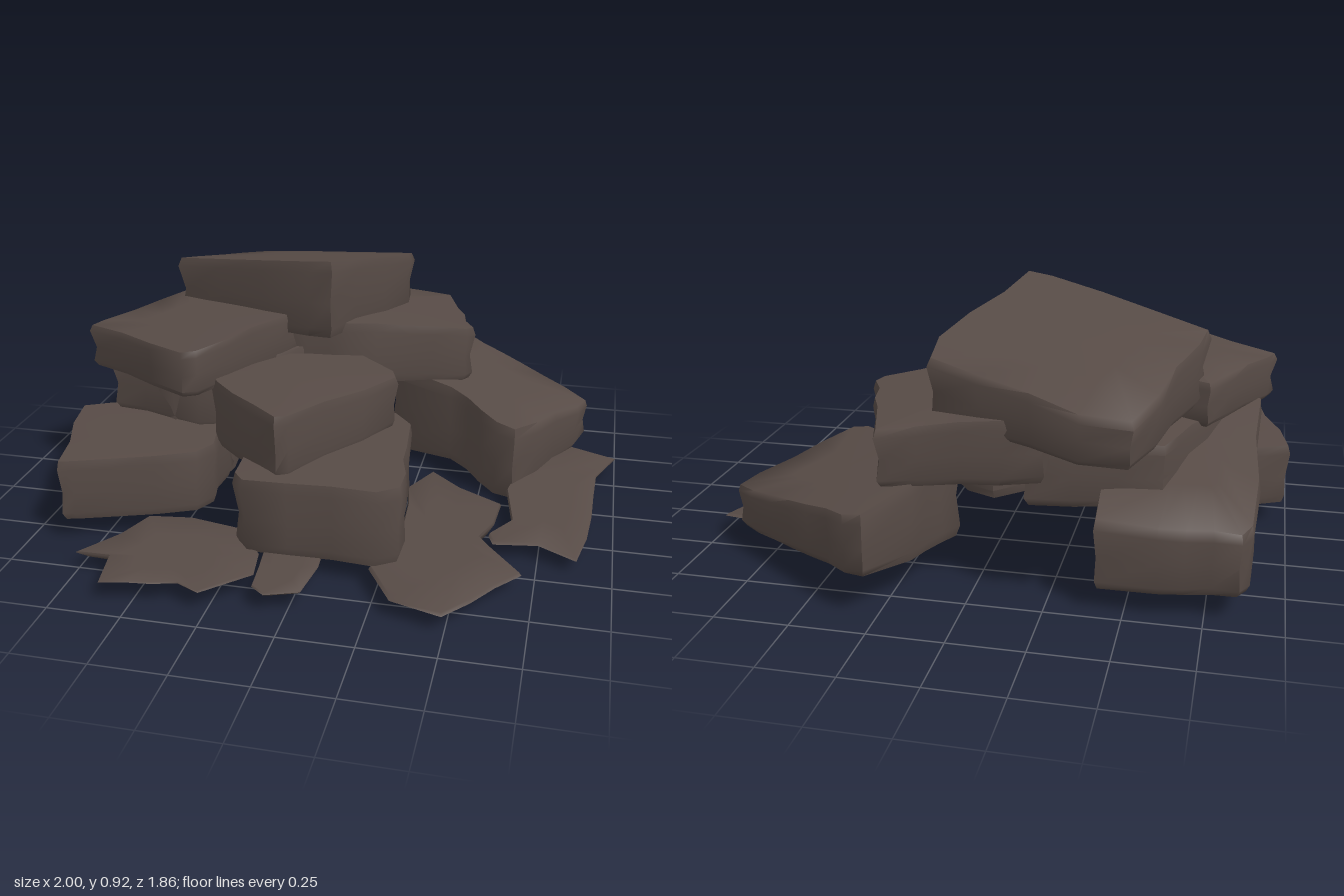
import * as THREE from 'three';
import { toCreasedNormals } from 'three/addons/utils/BufferGeometryUtils.js';

const stone = new THREE.MeshStandardMaterial({ color: 0x574b46 });
stone.name = 'brown stone';

// Profiles from bottom to top: [outline scale, height fraction]
const BLOCK = [[0.55, 0.02], [0.94, 0], [0.98, 0.12], [0.96, 0.45], [1, 0.86], [0.97, 1], [0.5, 1.02]];
const SHEET = [[0.5, 0], [0.85, 0.4], [1, 0.85], [0.97, 1], [0.5, 1]];

// Split every edge and nudge the new points so outlines look chipped
function chip(points, amount) {
  const out = [];
  points.forEach(([x, z], i) => {
    const [nx, nz] = points[(i + 1) % points.length];
    const len = Math.hypot(nx - x, nz - z);
    const steps = len > 0.25 ? 3 : 1;
    for (let s = 0; s < steps; s++) {
      const t = s / steps;
      const push = s ? amount * Math.sin(i * 2.3 + s * 1.9) : 0;
      out.push([x + (nx - x) * t + ((nz - z) / len) * push, z + (nz - z) * t - ((nx - x) / len) * push]);
    }
  });
  return out;
}

// A rock from an [x, z] outline between two sloping planes [height, slope x, slope z]
function rock(name, outline, bottom, top, profile = BLOCK) {
  let pts = chip(outline, profile === BLOCK ? 0.012 : 0.006);
  const area = pts.reduce((sum, [x, z], i) => {
    const [nx, nz] = pts[(i + 1) % pts.length];
    return sum + x * nz - nx * z;
  }, 0);
  if (area > 0) pts = pts.reverse();
  const n = pts.length;
  const cx = pts.reduce((s, p) => s + p[0], 0) / n;
  const cz = pts.reduce((s, p) => s + p[1], 0) / n;
  const plane = ([h, a, b], x, z) => h + a * x + b * z;
  const pos = [], index = [];
  const add = (x, z, t) => {
    const lo = plane(bottom, x, z), hi = plane(top, x, z);
    pos.push(x, Math.max(0, lo + (hi - lo) * t), z);
  };
  profile.forEach(([scale, t], r) => pts.forEach(([x, z], i) => {
    const side = r > 1 && r < profile.length - 2;
    const dent = side && profile === BLOCK ? 0.015 * Math.sin(i * 1.7 + r * 2.1) : 0;
    const k = scale + Math.min(0, dent);
    add(cx + (x - cx) * k, cz + (z - cz) * k, t);
  }));
  const rings = profile.length;
  add(cx, cz, profile[0][1]);
  add(cx, cz, profile[rings - 1][1]);
  for (let i = 0; i < n; i++) {
    const j = (i + 1) % n;
    for (let r = 0; r < rings - 1; r++) {
      const a = r * n + i, b = r * n + j;
      index.push(a, b, b + n, a, b + n, a + n);
    }
    index.push(rings * n, j, i);
    index.push(rings * n + 1, (rings - 1) * n + i, (rings - 1) * n + j);
  }
  const geo = new THREE.BufferGeometry();
  geo.setAttribute('position', new THREE.Float32BufferAttribute(pos, 3));
  geo.setIndex(index);
  const mesh = new THREE.Mesh(toCreasedNormals(geo, 1.1), stone);
  mesh.name = name;
  return mesh;
}

export function createModel() {
  const group = new THREE.Group();
  group.name = 'rockPile';
  group.add(
    // Top layer
    rock('capRock',
      [[-0.53, -0.84], [-0.37, -0.84], [0.15, -0.62], [0.16, -0.48], [-0.03, 0.08], [-0.12, 0.06], [-0.71, -0.22], [-0.69, -0.33]],
      [0.625, 0.03, 0.1], [0.904, 0.062, 0.228]),
    rock('upperLeftSlab',
      [[-0.93, 0.14], [-0.91, 0.08], [-0.72, -0.32], [-0.15, -0.15], [-0.22, 0.04], [-0.42, 0.42], [-0.47, 0.44]],
      [0.54, 0.06, 0], [0.705, 0.07, 0.01]),
    rock('upperRightRock',
      [[-0.25, -0.7], [0.16, -0.74], [0.29, -0.75], [0.35, -0.55], [0.44, -0.3], [0.42, -0.26], [0.3, -0.21], [0, -0.03], [-0.25, -0.04]],
      [0.42, -0.07, 0.04], [0.66, -0.12, 0.08]),
    // Middle layer, with the leaning boulder behind
    rock('leaningBackRock',
      [[-0.89, -0.66], [-0.86, -0.71], [-0.6, -0.73], [-0.4, -0.72], [-0.4, -0.1], [-0.42, 0.15], [-0.6, 0.2], [-0.89, 0.04]],
      [0.06, -0.03, 0], [0.53, 0.04, 0.28]),
    rock('middleLeftRock',
      [[-0.87, 0.12], [-0.72, -0.25], [-0.6, -0.55], [-0.15, -0.6], [-0.1, -0.1], [-0.3, 0.14], [-0.5, 0.22]],
      [0.28, -0.03, 0], [0.56, 0.04, 0.05]),
    rock('middleFrontRock',
      [[-0.41, 0.31], [-0.38, 0.36], [-0.1, 0.61], [-0.06, 0.59], [0.22, 0.13], [0.2, 0.07], [0.06, -0.06], [-0.25, 0.02]],
      [0.33, 0.06, 0], [0.535, -0.03, 0.02]),
    // Bottom layer
    rock('lowerLeftRock',
      [[-1, 0.11], [-0.9, 0.06], [-0.6, -0.08], [-0.42, 0.02], [-0.39, 0.35], [-0.43, 0.43], [-0.84, 0.59], [-0.88, 0.6]],
      [0.08, 0, 0], [0.315, 0.01, 0]),
    rock('lowerFrontRock',
      [[-0.25, 0.2], [-0.25, 0.6], [-0.21, 0.65], [0.25, 0.66], [0.32, 0.61], [0.29, 0.3], [0.27, 0.1], [0.2, 0.01], [0.08, -0.04]],
      [0.055, 0, 0.02], [0.34, 0.02, 0]),
    rock('lowerRightRock',
      [[0.27, -0.94], [0.34, -0.92], [0.6, -0.73], [0.88, -0.51], [0.85, -0.41], [0.63, -0.01], [0.56, -0.03], [0.36, -0.24], [0.14, -0.29], [0.1, -0.4], [0.17, -0.73]],
      [0.01, 0, -0.15], [0.44, -0.22, 0.02]),
    // Flat broken ground stones
    rock('frontLeftGroundStone',
      [[-0.75, 0.77], [-0.65, 0.62], [-0.6, 0.48], [-0.45, 0.46], [-0.25, 0.5], [-0.15, 0.65], [-0.13, 0.78], [-0.27, 0.92], [-0.35, 0.88], [-0.6, 0.93], [-0.63, 0.77]],
      [0.045, 0, 0], [0.075, 0, 0], SHEET),
    rock('frontGroundStone',
      [[-0.15, 0.55], [0.05, 0.55], [0.06, 0.68], [0.04, 0.84], [-0.07, 0.88], [-0.12, 0.84], [-0.13, 0.72]],
      [0.035, 0, 0], [0.07, 0, 0], SHEET),
    rock('rightGroundStone',
      [[0.25, 0.05], [0.32, -0.1], [0.44, 0.01], [0.6, 0.1], [0.59, 0.25], [0.55, 0.36], [0.6, 0.43], [0.71, 0.57], [0.49, 0.87], [0.32, 0.82], [0.22, 0.65], [0.3, 0.45]],
      [-0.01, 0, 0.03], [0.075, -0.02, 0], SHEET),
    rock('farRightGroundStone',
      [[0.83, -0.43], [1, -0.38], [0.93, -0.2], [0.91, 0.27], [0.88, 0.43], [0.75, 0.37], [0.6, 0.41], [0.58, 0.36], [0.65, 0.25], [0.61, 0.02], [0.65, -0.3]],
      [0.02, 0, -0.02], [0.13, -0.08, -0.02], SHEET),
  );
  return group;
}
